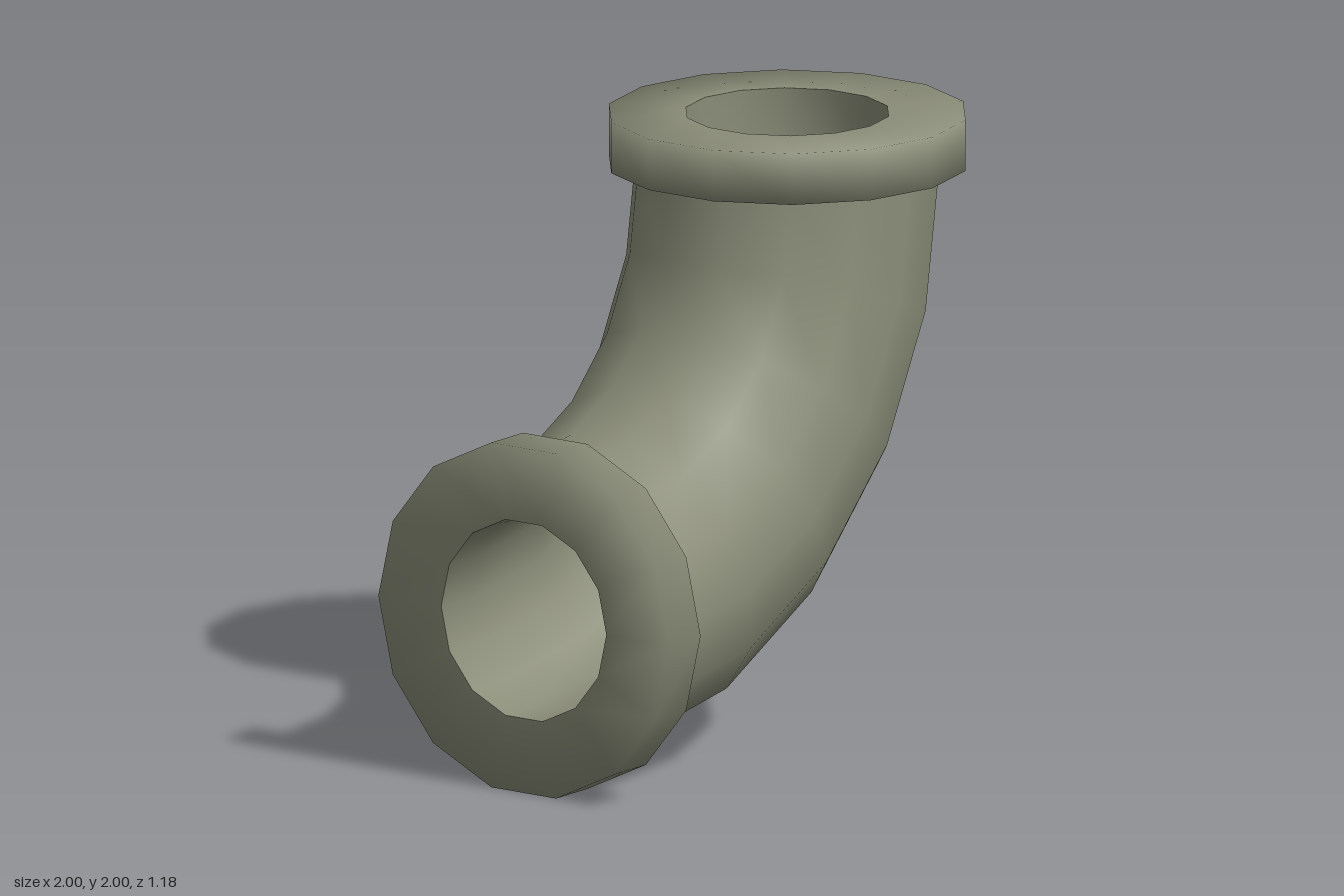
import * as THREE from 'three';

const SIDES = 14;
const BEND = { x: -0.83, y: 1.83, r: 1.255 }; // centre and radius of the quarter bend
const FLANGE = 0.17, FLANGE_R = 0.59, PIPE_R = 0.502, BORE_R = 0.335;
const END = Math.PI / 2;

// One ring around the pipe: bend angle, straight offset along the pipe, radius
const ring = (angle, offset, radius) => ({ angle, offset, radius });

// Skin a series of rings with smooth normals
function loft(rings) {
  const pos = [], index = [];
  rings.forEach(({ angle, offset, radius }, i) => {
    const s = Math.sin(angle), c = Math.cos(angle);
    for (let j = 0; j < SIDES; j++) {
      const phi = (j / SIDES) * Math.PI * 2;
      const d = BEND.r + radius * Math.sin(phi);
      pos.push(BEND.x + d * s + offset * c, BEND.y - d * c + offset * s, radius * Math.cos(phi));
      if (i === 0) continue;
      const k = (j + 1) % SIDES, a = (i - 1) * SIDES, b = i * SIDES;
      index.push(a + j, a + k, b + j, a + k, b + k, b + j);
    }
  });
  const geo = new THREE.BufferGeometry();
  geo.setAttribute('position', new THREE.Float32BufferAttribute(pos, 3));
  geo.setIndex(index);
  geo.computeVertexNormals();
  return geo;
}

export function createModel() {
  const group = new THREE.Group();
  const material = new THREE.MeshStandardMaterial({ color: 0x8a8d78, side: THREE.DoubleSide });
  const add = (name, rings) => {
    const mesh = new THREE.Mesh(loft(rings), material);
    mesh.name = name;
    group.add(mesh);
  };

  // Outer wall of the bend
  const bend = (radius) => Array.from({ length: 6 }, (_, i) => ring((i / 5) * END, 0, radius));
  add('elbowPipe', bend(PIPE_R));

  // Inner wall, run backwards so that it faces inwards
  add('bore', [ring(END, FLANGE, BORE_R), ...bend(BORE_R).reverse(), ring(0, -FLANGE, BORE_R)]);

  // Flange at each mouth
  add('sideFlange', [
    ring(0, -FLANGE, BORE_R), ring(0, -FLANGE, FLANGE_R),
    ring(0, 0, FLANGE_R), ring(0, 0, PIPE_R - 0.02),
  ]);
  add('topFlange', [
    ring(END, 0, PIPE_R - 0.02), ring(END, 0, FLANGE_R),
    ring(END, FLANGE, FLANGE_R), ring(END, FLANGE, BORE_R),
  ]);
  return group;
}
